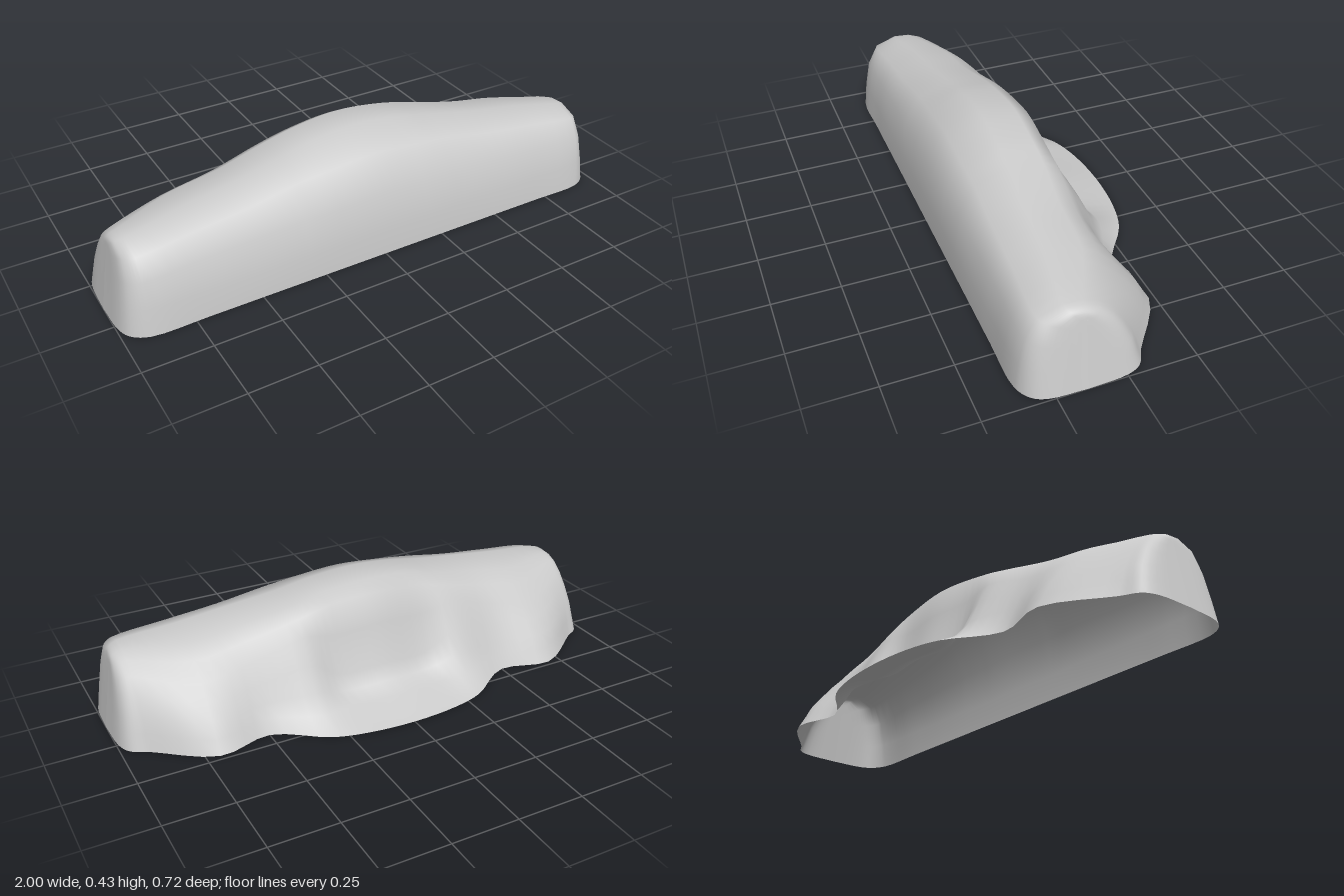
import * as THREE from 'three';

// Half cross-sections as (z, y) pairs, from the front foot over the crest to the back foot
const centre = [[.36, 0], [.355, .1], [.335, .25], [.268, .38], [.13, .432], [0, .427],
  [-.055, .393], [-.085, .28], [-.13, .13], [-.165, .075], [-.23, .042], [-.361, .002]];
const flank = [[.36, 0], [.355, .1], [.333, .24], [.268, .353], [.14, .392], [.01, .383],
  [-.045, .35], [-.08, .29], [-.13, .2], [-.175, .11], [-.225, .045], [-.31, .001]];
const notch = [[.36, 0], [.354, .1], [.33, .23], [.275, .322], [.16, .362], [.03, .343],
  [-.03, .305], [-.07, .24], [-.11, .165], [-.14, .1], [-.165, .05], [-.19, 0]];
const lobe = [[.36, 0], [.352, .1], [.33, .22], [.28, .3], [.17, .335], [.04, .312],
  [-.02, .272], [-.08, .21], [-.127, .155], [-.172, .1], [-.2, .05], [-.23, 0]];
const shoulder = [[.357, 0], [.345, .1], [.325, .2], [.285, .275], [.2, .303], [.13, .298],
  [.08, .28], [.03, .24], [-.01, .19], [-.05, .12], [-.07, .06], [-.09, 0]];

// Place a section at x, leaning inwards with height
const place = (profile, x, lean = 0) =>
  profile.map(([z, y]) => new THREE.Vector3(x - lean * y, y, z));

// Shrink a section towards a middle depth
const shrink = (profile, depth, height, mid = 0.14) =>
  profile.map(([z, y]) => [mid + (z - mid) * depth, y * height]);

function createSections() {
  // Seam that closes the rounded end
  const seam = shoulder.map(([, y], j) =>
    [0.14, 0.88 * (y + shoulder[shoulder.length - 1 - j][1]) / 2]);
  const half = [
    place(shrink(centre, 0.98, 0.965, 0.36), 0.18),
    place(flank, 0.31),
    place(notch, 0.5),
    place(lobe, 0.7),
    place(shoulder, 0.91),
    place(shrink(shoulder, 0.85, 0.97), 0.968, 0.1),
    place(shrink(shoulder, 0.62, 0.93), 0.992, 0.14),
    place(seam, 1, 0.16),
  ];
  const mirrored = half.map(ring => ring.map(p => new THREE.Vector3(-p.x, p.y, p.z))).reverse();
  return [...mirrored, place(centre, 0), ...half];
}

// Loft a smooth skin across the sections
function loft(sections, steps) {
  const rows = sections[0].length;
  const columns = (sections.length - 1) * steps + 1;
  const positions = [], indices = [];
  for (let j = 0; j < rows; j++) {
    const rail = new THREE.CatmullRomCurve3(sections.map(s => s[j]), false, 'centripetal');
    for (let i = 0; i < columns; i++) {
      const p = rail.getPoint(i / (columns - 1));
      positions.push(p.x, Math.max(p.y, 0), p.z);
    }
  }
  for (let j = 0; j < rows - 1; j++) {
    for (let i = 0; i < columns - 1; i++) {
      const a = j * columns + i, b = a + columns;
      indices.push(a, a + 1, b, a + 1, b + 1, b);
    }
  }
  const geometry = new THREE.BufferGeometry();
  geometry.setAttribute('position', new THREE.Float32BufferAttribute(positions, 3));
  geometry.setIndex(indices);
  geometry.computeVertexNormals();
  return geometry;
}

export function createModel() {
  const model = new THREE.Group();
  model.name = 'shellCover';
  // Open-bottomed shell with a recessed back and a low rear lip
  const shell = new THREE.Mesh(
    loft(createSections(), 4),
    new THREE.MeshStandardMaterial({ color: 0xcccccc, side: THREE.DoubleSide }),
  );
  shell.name = 'shell';
  model.add(shell);
  return model;
}
